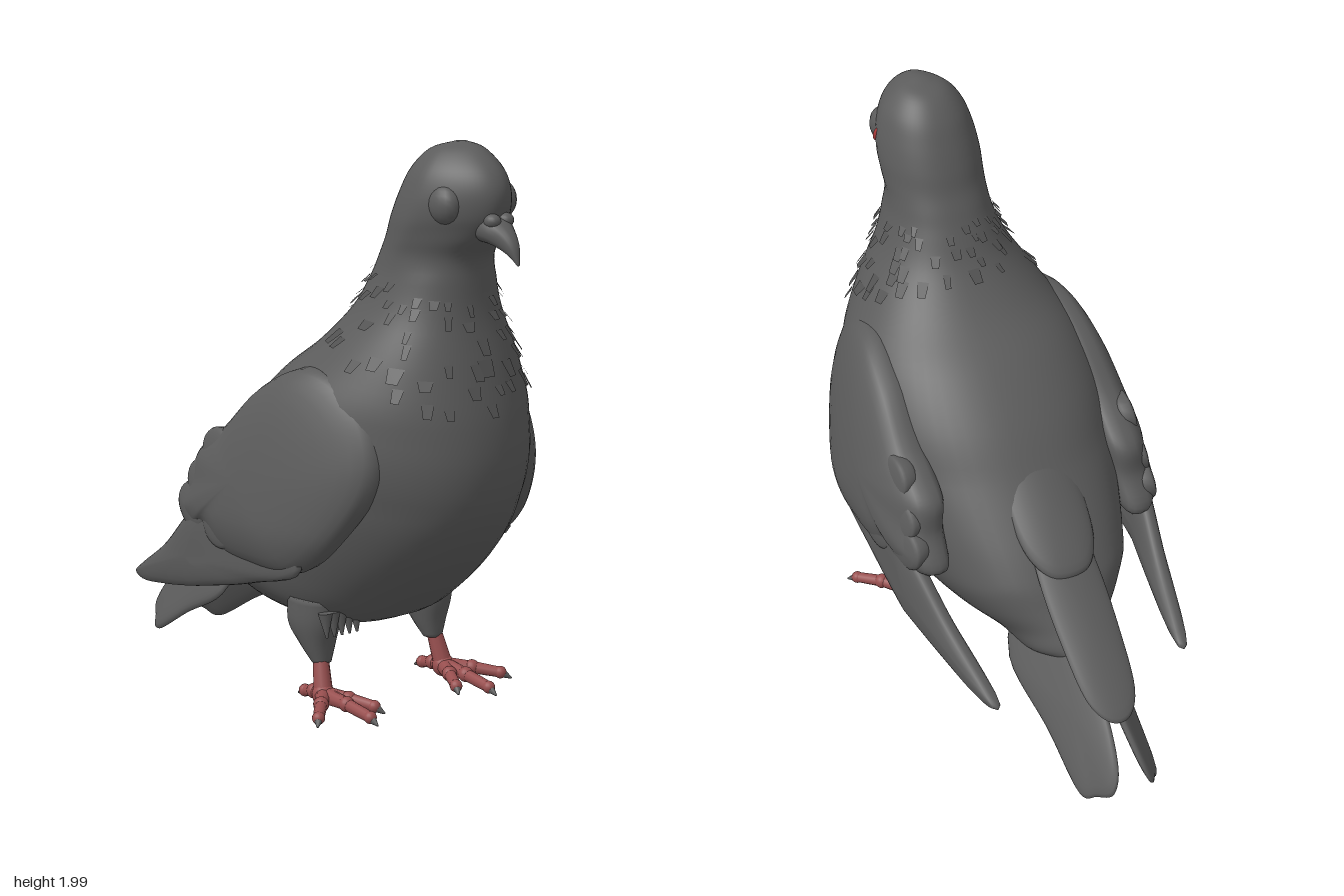
import * as THREE from 'three';

const mat = (name, color) => {
  const m = new THREE.MeshStandardMaterial({ color });
  m.name = name;
  return m;
};
const V = (x, y, z) => new THREE.Vector3(x, y, z);
const clamp01 = (v) => Math.min(1, Math.max(0, v));

// Closed geometry with its faces turned outward
function solid(pos, idx) {
  let volume = 0;
  for (let i = 0; i < idx.length; i += 3) {
    const [a, b, c] = [pos[idx[i]], pos[idx[i + 1]], pos[idx[i + 2]]];
    volume += a.dot(b.clone().cross(c));
  }
  if (volume < 0) idx.reverse();
  const g = new THREE.BufferGeometry().setFromPoints(pos);
  g.setIndex(idx);
  g.computeVertexNormals();
  return g;
}

// Surface through sections [frontZ, frontY, backZ, backY, halfWidth]; t runs along, a runs around.
// taper narrows the front of a section, box squares its corners.
function surface(sections, { x = 0, taper = () => 0, box = () => 0 } = {}) {
  const curve = (f) => new THREE.CatmullRomCurve3(sections.map(f), false, 'catmullrom');
  const front = curve((s) => V(x, s[1], s[0]));
  const back = curve((s) => V(x, s[3], s[2]));
  const width = curve((s) => V(s[4], 0, 0));
  const centre = (t) => front.getPoint(t).lerp(back.getPoint(t), 0.5);
  const point = (t, a) => {
    const round = (v) => Math.sign(v) * Math.pow(Math.abs(v), 0.92 - box(t));
    const c = centre(t);
    const p = c.clone().addScaledVector(front.getPoint(t).sub(c), round(Math.cos(a)));
    p.x += width.getPoint(t).x * round(Math.sin(a)) * (1 - taper(t) * Math.max(0, Math.cos(a)));
    return p;
  };
  return { point, centre };
}

function loft(s, rows, n) {
  const pos = [], idx = [];
  for (let i = 0; i <= rows; i++)
    for (let j = 0; j < n; j++) pos.push(s.point(i / rows, (j / n) * Math.PI * 2));
  pos.push(s.centre(0), s.centre(1));
  const first = pos.length - 2, last = pos.length - 1;
  for (let j = 0; j < n; j++) {
    const k = (j + 1) % n;
    for (let i = 0; i < rows; i++) {
      const a = i * n + j, b = i * n + k;
      idx.push(a, a + n, b, b, a + n, b + n);
    }
    idx.push(first, j, k, last, rows * n + k, rows * n + j);
  }
  return solid(pos, idx);
}

// Two-sided pillow over an outline in (u, v), placed in space by map(u, v, h)
function pillow(outline, map, up, down, n = 56, m = 7) {
  const curve = new THREE.CatmullRomCurve3(outline.map(([u, v]) => V(u, v, 0)), true, 'centripetal');
  const c = V(0, 0, 0);
  outline.forEach(([u, v]) => c.add(V(u / outline.length, v / outline.length, 0)));
  const rim = Array.from({ length: n }, (_, j) => curve.getPoint(j / n));
  const pos = [map(c.x, c.y, up)], idx = [];
  // Rings climb from the upper centre to the rim and return underneath
  for (let k = 1; k < 2 * m; k++) {
    const a = (k / m) * Math.PI / 2, cos = Math.cos(a);
    const h = Math.sign(cos) * Math.pow(Math.abs(cos), 0.7) * (k < m ? up : down);
    for (const p of rim) {
      const q = c.clone().lerp(p, Math.sin(a));
      pos.push(map(q.x, q.y, h));
    }
  }
  pos.push(map(c.x, c.y, -down));
  const last = pos.length - 1, start = last - n;
  for (let j = 0; j < n; j++) {
    const k = (j + 1) % n;
    idx.push(0, 1 + j, 1 + k, last, start + k, start + j);
    for (let r = 0; r < 2 * m - 2; r++) {
      const a = 1 + r * n + j, b = 1 + r * n + k;
      idx.push(a, a + n, b, b, a + n, b + n);
    }
  }
  return solid(pos, idx);
}

export function createModel() {
  const model = new THREE.Group();
  model.name = 'bird';
  const plumage = mat('greyPlumage', 0x5c5c5c);
  const dark = mat('darkFleck', 0x505050);
  const skin = mat('redSkin', 0x984f4f);
  const red = mat('redEye', 0xb03a3a);
  dark.side = THREE.DoubleSide;

  const add = (name, geo, material) => {
    const mesh = new THREE.Mesh(geo, material);
    mesh.name = name;
    model.add(mesh);
    return mesh;
  };
  const ball = (name, p, r, material, scale = [1, 1, 1]) => {
    const mesh = add(name, new THREE.SphereGeometry(r, 16, 12), material);
    mesh.position.copy(p);
    mesh.scale.set(...scale);
    return mesh;
  };
  const limb = (name, a, b, r0, r1, material) => {
    const d = b.clone().sub(a);
    const mesh = add(name, new THREE.CylinderGeometry(r1, r0, d.length(), 10), material);
    mesh.position.copy(a).addScaledVector(d, 0.5);
    mesh.quaternion.setFromUnitVectors(V(0, 1, 0), d.normalize());
  };

  // Head, neck and body in one skin
  const body = surface([
    [0.72, 2.0, 0.68, 2.0, 0.02], [0.79, 1.98, 0.59, 1.972, 0.085], [0.865, 1.92, 0.525, 1.91, 0.14],
    [0.897, 1.85, 0.48, 1.83, 0.168], [0.885, 1.77, 0.445, 1.75, 0.18], [0.84, 1.7, 0.42, 1.68, 0.178],
    [0.787, 1.63, 0.39, 1.62, 0.176], [0.78, 1.54, 0.355, 1.55, 0.19], [0.79, 1.42, 0.29, 1.44, 0.235],
    [0.83, 1.25, 0.17, 1.32, 0.325], [0.865, 1.08, 0, 1.2, 0.41], [0.87, 0.92, -0.15, 1.06, 0.45],
    [0.83, 0.77, -0.27, 0.91, 0.445], [0.72, 0.61, -0.36, 0.8, 0.415], [0.55, 0.45, -0.43, 0.71, 0.375],
    [0.37, 0.335, -0.49, 0.62, 0.33], [0.1, 0.295, -0.53, 0.55, 0.26], [-0.15, 0.29, -0.57, 0.49, 0.18],
    [-0.34, 0.29, -0.6, 0.44, 0.14], [-0.45, 0.31, -0.62, 0.41, 0.09],
  ], {
    taper: (t) => 0.35 * clamp01((0.36 - t) * 8) + 0.18 * clamp01((t - 0.44) * 10) * clamp01((0.75 - t) * 8),
    box: (t) => 0.18 * clamp01((t - 0.62) * 6) * clamp01((0.95 - t) * 6),
  });
  add('body', loft(body, 95, 56), plumage);

  // Hooked beak with a swollen base
  add('beak', loft(surface([
    [0.83, 1.79, 0.83, 1.69, 0.06], [0.89, 1.775, 0.88, 1.685, 0.055], [0.94, 1.74, 0.915, 1.672, 0.035],
    [0.972, 1.695, 0.95, 1.655, 0.02], [0.985, 1.635, 0.98, 1.63, 0.004],
  ]), 20, 20), plumage);

  // Ruffled neck feathers in rows, higher behind than in front
  let seed = 7;
  const rand = () => (seed = (seed * 16807) % 2147483647) / 2147483647;
  const pts = [], tri = [];
  const lift = (t, a, h) => {
    const p = body.point(t, a);
    return p.addScaledVector(p.clone().sub(body.centre(t)).normalize(), h);
  };
  for (let row = 0; row < 6; row++) {
    for (let k = 0; k < 24; k++) {
      if (rand() < 0.35) continue;
      const a = ((k + rand() * 0.7) / 24) * Math.PI * 2;
      const t = (6.9 + 0.45 * Math.cos(a) + row * (0.35 + 0.08 * Math.cos(a)) + rand() * 0.2) / 19;
      const w = 0.045 + rand() * 0.05, len = 0.008 + rand() * 0.009, i = pts.length;
      pts.push(lift(t, a - w, 0.003), lift(t, a + w, 0.003),
        lift(t + len, a + w * 0.6, 0.018), lift(t + len, a - w * 0.6, 0.018));
      tri.push(i, i + 2, i + 1, i, i + 3, i + 2);
    }
  }
  const ruff = new THREE.BufferGeometry().setFromPoints(pts);
  ruff.setIndex(tri);
  ruff.computeVertexNormals();
  add('neckFeathers', ruff, dark);

  // Feathers lying over the rump
  const backSlope = (rise) => (x, z, h) => V(x, 0.32 + rise + (z + 0.87) * 0.9 + h - x * x * 1.5, z);
  add('rumpFeather', pillow([[0, -0.08], [0.11, -0.15], [0.14, -0.28], [0.125, -0.42], [0.06, -0.5],
    [-0.06, -0.5], [-0.125, -0.42], [-0.14, -0.28], [-0.11, -0.15]], backSlope(0.025), 0.035, 0.04), plumage);
  add('longBackFeather', pillow([[0.08, -0.3], [0.11, -0.45], [0.11, -0.65], [0.085, -0.82], [0.03, -0.88],
    [-0.03, -0.88], [-0.085, -0.82], [-0.11, -0.65], [-0.11, -0.45], [-0.08, -0.3]],
  backSlope(0), 0.022, 0.022), plumage);

  const covertX = (z, y) => 0.345 + 0.09 * clamp01((1.25 - y) / 0.55) - (z > 0.2 ? 0.33 : 0.2) * (z - 0.2) ** 2;
  const coverts = [[0.69, 0.95], [0.64, 1.12], [0.5, 1.23], [0.35, 1.25], [0.15, 1.16], [-0.03, 1.0],
    [-0.12, 0.94], [-0.2, 0.87], [-0.22, 0.77], [-0.28, 0.65], [-0.2, 0.61], [-0.1, 0.63], [0.02, 0.57],
    [0.2, 0.56], [0.42, 0.58], [0.6, 0.75]];
  const primaries = [[0.45, 0.6], [0.2, 0.5], [-0.1, 0.42], [-0.4, 0.35], [-0.62, 0.315], [-0.67, 0.33],
    [-0.6, 0.38], [-0.4, 0.5], [-0.2, 0.66], [0, 0.8], [0.3, 0.8]];
  const tail = [[0.2, -0.35], [0, -0.55], [0.05, -0.8], [0.2, -0.94], [0.42, -0.98], [0.7, -0.93],
    [0.95, -0.86], [1.04, -0.65], [1.2, -0.4]];

  for (const s of [1, -1]) {
    const side = s > 0 ? 'left' : 'right';

    // Wing: domed coverts, overlapping lobes and long flight feathers
    const wing = (rise) => (z, y, h) => V(s * (covertX(z, y) + rise + h), y, z);
    add(side + 'WingCoverts', pillow(coverts, wing(0), 0.11, 0.1, 96, 10), plumage);
    [[-0.02, 0.91], [-0.1, 0.79], [-0.15, 0.7], [0.03, 0.67]].forEach(([z, y]) => {
      const oval = Array.from({ length: 10 }, (_, i) => {
        const a = (i / 10) * Math.PI * 2;
        return [z + 0.1 * Math.cos(a) + 0.03 * Math.sin(a), y + 0.075 * Math.sin(a) - 0.03 * Math.cos(a)];
      });
      add(side + 'WingLobe', pillow(oval, wing(0.06), 0.02, 0.07, 28, 5), plumage);
    });
    add(side + 'FlightFeathers', pillow(primaries,
      (z, y, h) => V(s * (0.36 + 0.095 * clamp01((z + 0.67) / 0.52) + h), y, z), 0.04, 0.045), plumage);

    // Tail half, drooping outward
    add(side + 'Tail', pillow(tail,
      (u, z, h) => V(s * (0.01 + 0.145 * u + h * 0.5), 0.22 + (z + 0.95) * 0.68 - 0.27 * u + h, z),
      0.026, 0.026), plumage);

    // Eyelid and nostril swelling
    ball(side + 'Eyelid', V(s * 0.115, 1.81, 0.755), 0.066, plumage, [0.73, 1, 1]);
    ball(side + 'Cere', V(s * 0.027, 1.765, 0.885), 0.03, plumage, [0.9, 0.8, 1]);

    // Feathered thigh, bare shank and toes
    add(side + 'Thigh', loft(surface([[0.35, 0.43, 0.14, 0.43, 0.08], [0.345, 0.35, 0.14, 0.33, 0.078],
      [0.325, 0.27, 0.2, 0.26, 0.058], [0.315, 0.205, 0.25, 0.205, 0.034]], { x: s * 0.245 }), 16, 20), plumage);
    const ankle = V(s * 0.265, 0.1, 0.32);
    limb(side + 'Shank', V(s * 0.25, 0.22, 0.285), ankle, 0.027, 0.034, skin);
    ball(side + 'Ankle', ankle, 0.04, skin);
    [[0.26, 0.57], [0.18, 0.49], [0.4, 0.47], [0.26, 0.21]].forEach(([x, z]) => {
      const end = V(s * x, 0.085, z), mid = ankle.clone().lerp(end, 0.5);
      mid.y = 0.098;
      limb(side + 'Toe', ankle, mid, 0.03, 0.022, skin);
      ball(side + 'ToeJoint', mid, 0.027, skin);
      limb(side + 'Toe', mid, end, 0.022, 0.019, skin);
      ball(side + 'ToeTip', end, 0.022, skin);
      const claw = end.clone().addScaledVector(end.clone().sub(ankle).setY(0).normalize(), 0.04);
      claw.y = 0.066;
      limb(side + 'Claw', end, claw, 0.019, 0.003, plumage);
    });
  }

  // Red sliver at the rear of the open eye
  ball('leftEye', V(0.163, 1.808, 0.708), 0.032, red, [0.4, 1, 0.4]).rotation.x = -0.45;

  // Loose tufts on the right thigh and under the belly
  for (let i = 0; i < 5; i++) {
    const x = -0.16 - i * 0.032;
    limb('thighTuft', V(x, 0.4, 0.36), V(x, 0.315, 0.37), 0.026, 0.004, plumage);
  }
  for (let i = 0; i < 4; i++)
    ball('bellyTuft', V(0.2 - i * 0.035, 0.325, 0.06 - i * 0.07), 0.035, plumage, [0.8, 1.1, 0.8]);

  return model;
}
